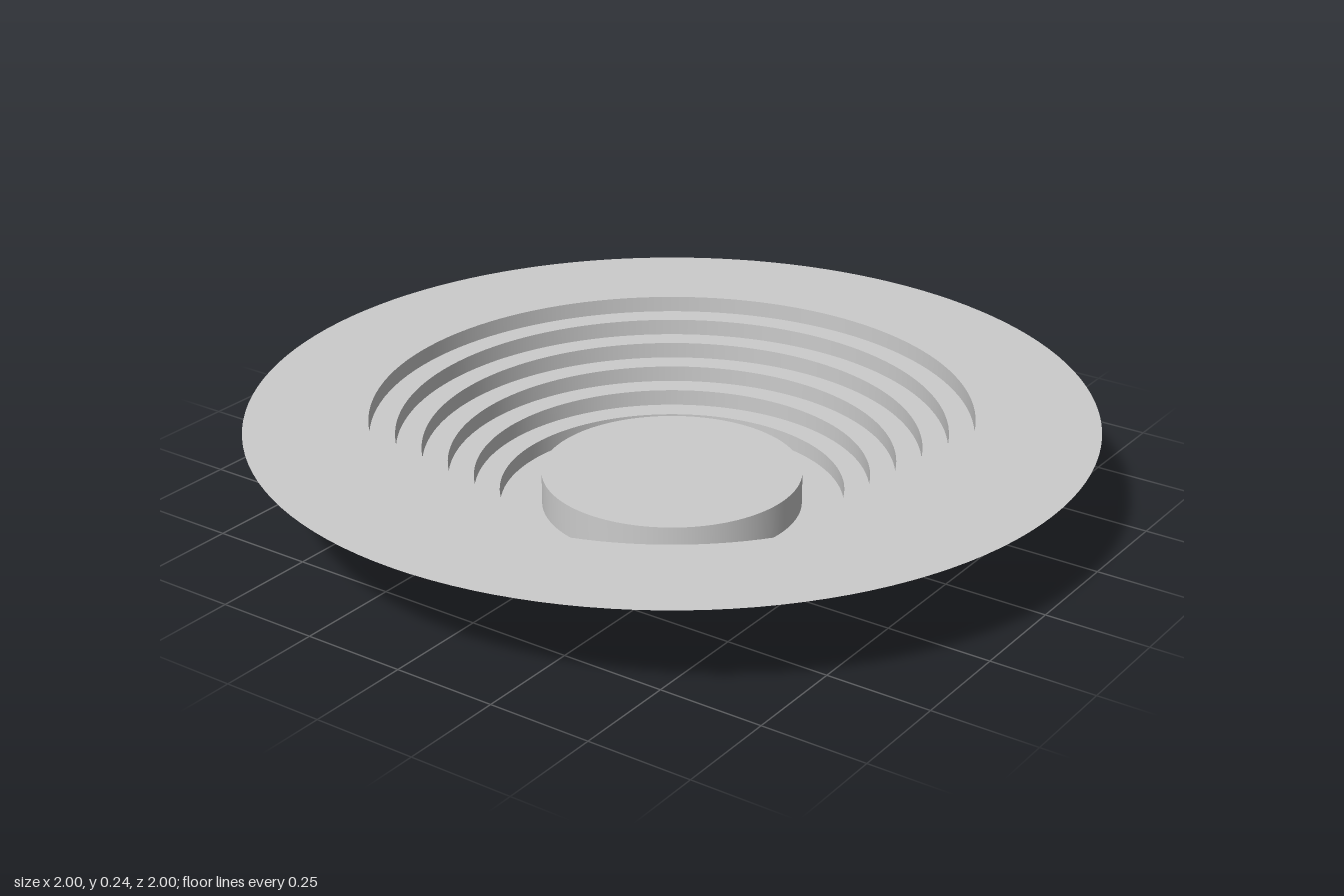
import * as THREE from 'three';

const SEGMENTS = 128;
const STEPS = 6;
const RISE = 0.04;
const TREAD = 0.06;
const FLOOR_RADIUS = 0.41;

export function createModel() {
  const model = new THREE.Group();
  model.name = 'steppedArena';
  const material = new THREE.MeshStandardMaterial({ color: 0xcccccc, side: THREE.DoubleSide });

  const add = (name, geometry, y) => {
    const mesh = new THREE.Mesh(geometry, material);
    mesh.name = name;
    mesh.position.y = y;
    model.add(mesh);
  };
  // Flat sheets face up, walls are open bands
  const disc = (r) => new THREE.CircleGeometry(r, SEGMENTS).rotateX(-Math.PI / 2);
  const ring = (inner, outer) => new THREE.RingGeometry(inner, outer, SEGMENTS).rotateX(-Math.PI / 2);
  const wall = (r, h) => new THREE.CylinderGeometry(r, r, h, SEGMENTS, 1, true).translate(0, h / 2, 0);

  // Arena floor
  add('floor', disc(FLOOR_RADIUS), 0);

  // Raised round stage in the middle
  add('stageWall', wall(0.31, 2 * RISE), 0);
  add('stageTop', disc(0.31), 2 * RISE);

  // Concentric steps; the last tread widens into the surrounding ground
  for (let i = 0; i < STEPS; i++) {
    const r = FLOOR_RADIUS + i * TREAD;
    const last = i === STEPS - 1;
    add(`riser${i + 1}`, wall(r, RISE), i * RISE);
    add(last ? 'outerRim' : `tread${i + 1}`, ring(r, last ? 1 : r + TREAD), (i + 1) * RISE);
  }
  return model;
}
